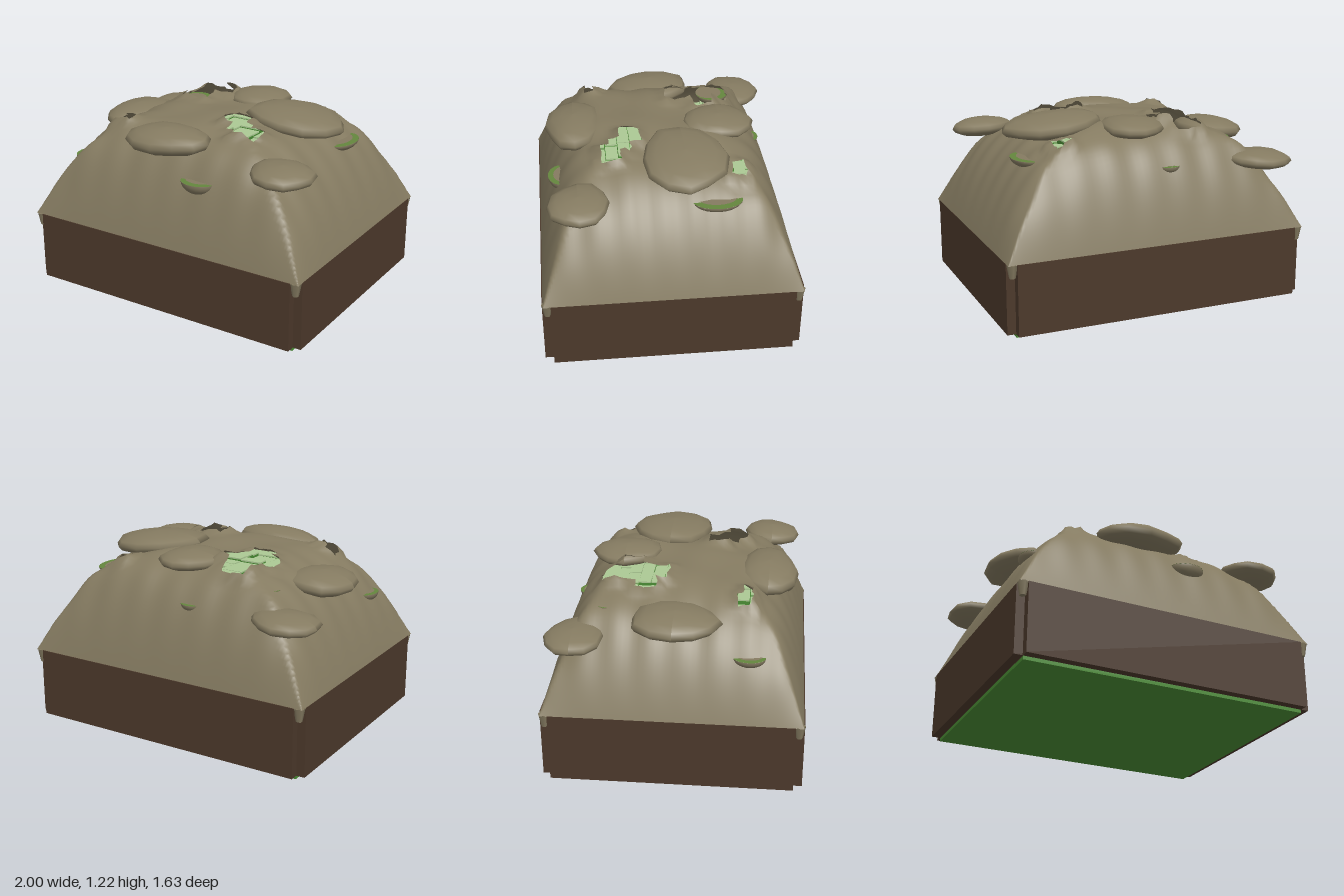
import * as THREE from 'three';

const mat = (name, color, side = THREE.FrontSide) => {
  const m = new THREE.MeshStandardMaterial({ color, side });
  m.name = name;
  return m;
};

// Small seeded random generator
function seeded(seed) {
  let s = seed;
  return () => {
    s = (s * 16807) % 2147483647;
    return s / 2147483647;
  };
}

// Height of the cloth over the floor at x, z: steep walls, ridged corners, flat crown
function moundHeight(x, z) {
  const tx = Math.min(1, Math.abs(x)), tz = Math.min(1, Math.abs(z) / 0.805);
  const f = 0.8 * (1 - Math.pow(tx, 4.8)) + 0.2 * (1 - tx * tx);
  const g = 1 - Math.pow(tz, 5);
  const folds = 0.05 * (f * (1 - f) * Math.sin(z * 31) + g * (1 - g) * Math.sin(x * 27 + 1));
  const ripple = 0.006 * Math.sin(x * 13 + z * 5) + 0.006 * Math.sin(z * 15 - x * 4);
  const s = 0.6 * Math.min(f, g) + 0.4 * f * g;
  return 0.47 + s * (0.69 + ripple + folds);
}

// Torn openings as rectangles: x0, x1, z0, z1
const tears = [
  [-0.43, -0.25, -0.48, -0.24], [-0.27, -0.14, -0.38, -0.23],
  [-0.49, -0.36, -0.27, -0.14], [-0.4, -0.23, -0.25, -0.07],
  [0.14, 0.28, 0.14, 0.27], [0.22, 0.36, 0.2, 0.33], [0.28, 0.45, 0.29, 0.41],
  [0.48, 0.58, -0.5, -0.39],
  [-0.59, -0.53, 0.37, 0.47], [-0.55, -0.46, 0.41, 0.47],
];
const tearDistance = (x, z) => Math.min(...tears.map(([x0, x1, z0, z1]) =>
  Math.hypot(Math.max(x0 - x, 0, x - x1), Math.max(z0 - z, 0, z - z1))));

// Draped cloth: a grid with its torn cells left out and the lips curled up
function clothGeometry() {
  const nx = 88, nz = 72, pos = [], index = [];
  const rnd = seeded(71);
  for (let j = 0; j <= nz; j++) {
    for (let i = 0; i <= nx; i++) {
      const x = Math.sin((i / nx - 0.5) * Math.PI), z = 0.805 * Math.sin((j / nz - 0.5) * Math.PI);
      const lip = Math.max(0, 1 - tearDistance(x, z) / 0.06);
      const wave = 0.5 + 0.5 * Math.sin(x * 23 + z * 17);
      const y = moundHeight(x, z) + lip * (0.01 + 0.03 * wave + 0.015 * rnd());
      pos.push(x + (rnd() - 0.5) * lip * 0.022, y, z + (rnd() - 0.5) * lip * 0.022);
    }
  }
  for (let j = 0; j < nz; j++) {
    for (let i = 0; i < nx; i++) {
      const x = Math.sin(((i + 0.5) / nx - 0.5) * Math.PI);
      const z = 0.805 * Math.sin(((j + 0.5) / nz - 0.5) * Math.PI);
      if (tearDistance(x, z) === 0) continue;
      const a = j * (nx + 1) + i, b = a + nx + 1;
      index.push(a, b, a + 1, a + 1, b, b + 1);
    }
  }
  const g = new THREE.BufferGeometry();
  g.setAttribute('position', new THREE.Float32BufferAttribute(pos, 3));
  g.setIndex(index);
  g.computeVertexNormals();
  return g;
}

// Flattened lump with an uneven, slightly angular outline
function lumpGeometry(rx, ry, rz, seed) {
  const g = new THREE.SphereGeometry(1, 12, 8);
  const p = g.attributes.position;
  for (let i = 0; i < p.count; i++) {
    const x = p.getX(i), y = p.getY(i), z = p.getZ(i);
    const a = Math.atan2(z, x);
    const k = 1 + 0.04 * Math.sin(a * 3 + seed) + 0.03 * Math.sin(a * 5 + seed * 2.3);
    p.setXYZ(i, x * k * rx, y * ry, z * k * rz);
  }
  g.computeVertexNormals();
  return g;
}

export function createModel() {
  const root = new THREE.Group();
  root.name = 'coveredCrate';
  const brown = mat('crateBrown', 0x4c392b);
  const cloth = mat('cloth', 0x857b61, THREE.DoubleSide);
  const green = mat('baseGreen', 0x4a8c34);
  const pale = mat('paleGreen', 0xacc994);
  const leaf = mat('pocketGreen', 0x64863e, THREE.DoubleSide);

  const add = (name, geo, material, x = 0, y = 0, z = 0, parent = root) => {
    const m = new THREE.Mesh(geo, material);
    m.name = name;
    m.position.set(x, y, z);
    parent.add(m);
    return m;
  };

  // Crate with notched corners, on a green floor slab
  add('floorSlab', new THREE.BoxGeometry(1.885, 0.04, 1.51), green, 0, 0.02, 0);
  add('crateFrontBack', new THREE.BoxGeometry(1.89, 0.45, 1.62), brown, 0, 0.248, 0);
  add('crateSides', new THREE.BoxGeometry(2, 0.448, 1.51), brown, 0, 0.248, 0);

  // Cloth mound and its tips hanging in the corner notches
  add('clothCover', clothGeometry(), cloth);
  for (const sx of [-1, 1]) for (const sz of [-1, 1]) {
    add('clothTip', new THREE.CylinderGeometry(0.036, 0.02, 0.085, 6), cloth, sx * 0.968, 0.43, sz * 0.778);
  }

  // Stacked paper bundles under the cloth
  const bundles = new THREE.Group();
  bundles.name = 'paperBundles';
  root.add(bundles);
  const rnd = seeded(19), w = 0.15, d = 0.08, layer = 0.04;
  for (let i = -5; i <= 5; i++) {
    for (let j = -8; j <= 8; j++) {
      const x = i * w, z = j * d;
      const low = Math.min(...[-1, 1].flatMap(a => [-1, 1].map(b => moundHeight(x + a * w / 2, z + b * d / 2))));
      const top = low - 0.1 - 0.02 * rnd();
      if (top < 0.55) continue;
      add('bundleCore', new THREE.BoxGeometry(w, top - 0.48, d), green, x, (top + 0.46) / 2 - 0.002, z, bundles);
      for (let k = 0; k < 4; k++) {
        const y = top - k * layer - layer / 2;
        if (y < 0.5) break;
        const b = add('bundle', new THREE.BoxGeometry(w - 0.003, layer - 0.006, d - 0.003), pale, x, y, z, bundles);
        b.rotation.y = (rnd() - 0.5) * 0.06;
      }
    }
  }

  // Flat lumps: x, y, z, radii, tilt about x and z
  const lumps = [
    [-0.775, 0.91, -0.605, 0.22, 0.058, 0.185, -0.05, 0.05],
    [-0.71, 1.01, 0.0, 0.22, 0.075, 0.275, 0.02, 0.07],
    [0.03, 1.14, -0.38, 0.2, 0.06, 0.23, -0.03, 0],
    [0.465, 1.14, -0.115, 0.33, 0.075, 0.27, 0, -0.09],
    [-0.095, 1.09, 0.55, 0.305, 0.082, 0.19, 0.08, 0.05],
    [0.735, 1.025, 0.555, 0.205, 0.063, 0.19, 0.06, -0.04],
  ];
  lumps.forEach(([x, y, z, rx, ry, rz, tx, tz], i) => {
    const m = add('lump', lumpGeometry(rx, ry, rz, i * 1.7 + 1), cloth, x, y, z);
    m.rotation.set(tx, 0, tz);
  });

  // Half-sunk pockets with a green crescent rim: x, y, z, radii, outward direction
  const pockets = [
    [0.2, 0.9, 0.65, 0.115, 0.08, 0.085, 0, 1],
    [-0.81, 0.835, 0.46, 0.07, 0.06, 0.1, -1, 0],
    [0.7, 0.985, -0.29, 0.1, 0.06, 0.155, 1, 0],
    [-0.12, 0.925, -0.62, 0.07, 0.05, 0.06, 0, -1],
    [-0.53, 1.04, -0.42, 0.105, 0.07, 0.11, 0, -1],
  ];
  for (const [x, y, z, rx, ry, rz, ox, oz] of pockets) {
    const p = new THREE.Group();
    p.name = 'pocket';
    p.position.set(x, y, z);
    p.scale.set(rx, ry, rz);
    root.add(p);
    add('pocketBowl', new THREE.SphereGeometry(1, 20, 8, 0, Math.PI * 2, Math.PI / 2, Math.PI / 2), cloth, 0, 0, 0, p);
    add('pocketRim', new THREE.CircleGeometry(1, 24), leaf, 0, 0.01, 0, p).rotation.x = -Math.PI / 2;
    add('pocketFill', new THREE.CircleGeometry(0.8, 24), cloth, -0.2 * ox, 0.06, -0.2 * oz, p).rotation.x = -Math.PI / 2;
  }

  return root;
}
